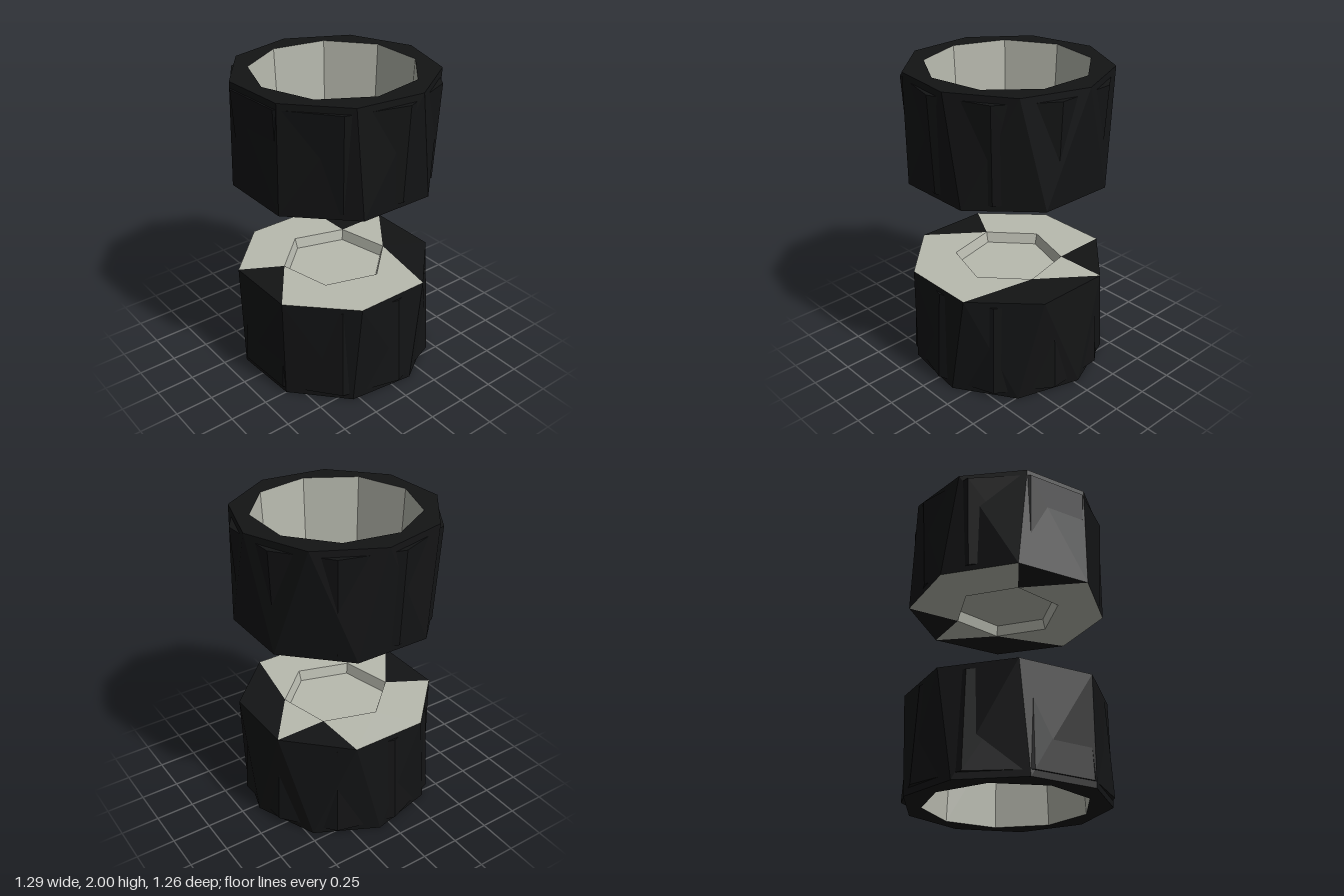
import * as THREE from 'three';

const DEG = Math.PI / 180;
const rubber = new THREE.MeshStandardMaterial({ color: 0x131415, flatShading: true });
const metal = new THREE.MeshStandardMaterial({ color: 0xb8baaf, flatShading: true });

// A regular polygon ring: n corners, phase in degrees, radius r, height y
const ring = (n, phase, r, y) => ({
  n, r,
  angle: (i) => phase + (i * 360) / n,
  point: (i) => {
    const a = (phase + (i * 360) / n) * DEG;
    return [r * Math.cos(a), y, r * Math.sin(a)];
  },
});

// Stitches two rings of any corner counts with triangles; edge is the corner of ring a, or -1
function stitch(a, b) {
  const tris = [];
  let i = 0;
  let j = Math.round(((a.angle(0) - b.angle(0)) * b.n) / 360);
  const endI = a.n, endJ = j + b.n;
  while (i < endI || j < endJ) {
    if (j >= endJ || (i < endI && a.angle(i + 0.5) <= b.angle(j + 0.5))) {
      if (a.r > 0) tris.push({ edge: i, corners: [a.point(i), b.point(j), a.point(i + 1)] });
      i++;
    } else {
      if (b.r > 0) tris.push({ edge: -1, corners: [a.point(i), b.point(j), b.point(j + 1)] });
      j++;
    }
  }
  return tris;
}

// Stitches a row of rings one after the other
const skin = (...rings) => rings.slice(1).flatMap((r, k) => stitch(rings[k], r));

// Turns triangles into a mesh; the upper wheel is mirrored in y
function mesh(name, tris, material, mirrored) {
  const pos = [];
  for (const { corners } of tris) {
    const order = mirrored ? [0, 2, 1] : [0, 1, 2];
    for (const k of order) {
      const [x, y, z] = corners[k];
      pos.push(x, mirrored ? 2 - y : y, z);
    }
  }
  const geo = new THREE.BufferGeometry();
  geo.setAttribute('position', new THREE.Float32BufferAttribute(pos, 3));
  geo.computeVertexNormals();
  const m = new THREE.Mesh(geo, material);
  m.name = name;
  return m;
}

function wheel(name, mirrored) {
  const group = new THREE.Group();
  group.name = name;

  const lipIn = ring(9, 10, 0.515, 0);
  const lipOut = ring(9, 27, 0.64, 0);
  const shoulder = ring(8, 22.5, 0.645, 0.69);
  const hubEdge = ring(6, 47, 0.35, 0.69);
  const hubFloor = ring(6, 47, 0.33, 0.62);

  // Inner plate: a few of its outer triangles are covered by rubber
  const plate = stitch(shoulder, hubEdge);
  const isDark = (t) => [1, 4, 5, 6].includes(t.edge);

  // Tyre: lip, side wall and the covered plate corners
  const tyre = [...skin(lipIn, lipOut, shoulder), ...plate.filter(isDark)];
  group.add(mesh('tyre', tyre, rubber, mirrored));

  // Tread band: a tapering ten-sided ring poking through the side wall
  const tread = skin(
    ring(10, -3, 0.55, 0.04),
    ring(10, -3, 0.645, 0.04),
    ring(10, -3, 0.612, 0.655),
    ring(10, -3, 0.55, 0.655),
  );
  group.add(mesh('treadBand', tread, rubber, mirrored));

  // Deep open rim on the outer side
  const rim = skin(ring(9, 10, 0, 0.6), ring(9, 10, 0.485, 0.6), lipIn);
  group.add(mesh('rim', rim, metal, mirrored));

  // Plate with a shallow hub recess on the inner side
  const hub = [
    ...plate.filter((t) => !isDark(t)),
    ...skin(hubEdge, hubFloor, ring(6, 47, 0, 0.62)),
  ];
  group.add(mesh('hubPlate', hub, metal, mirrored));
  return group;
}

export function createModel() {
  const model = new THREE.Group();
  model.name = 'wheelPair';
  model.add(wheel('lowerWheel', false), wheel('upperWheel', true));
  return model;
}
